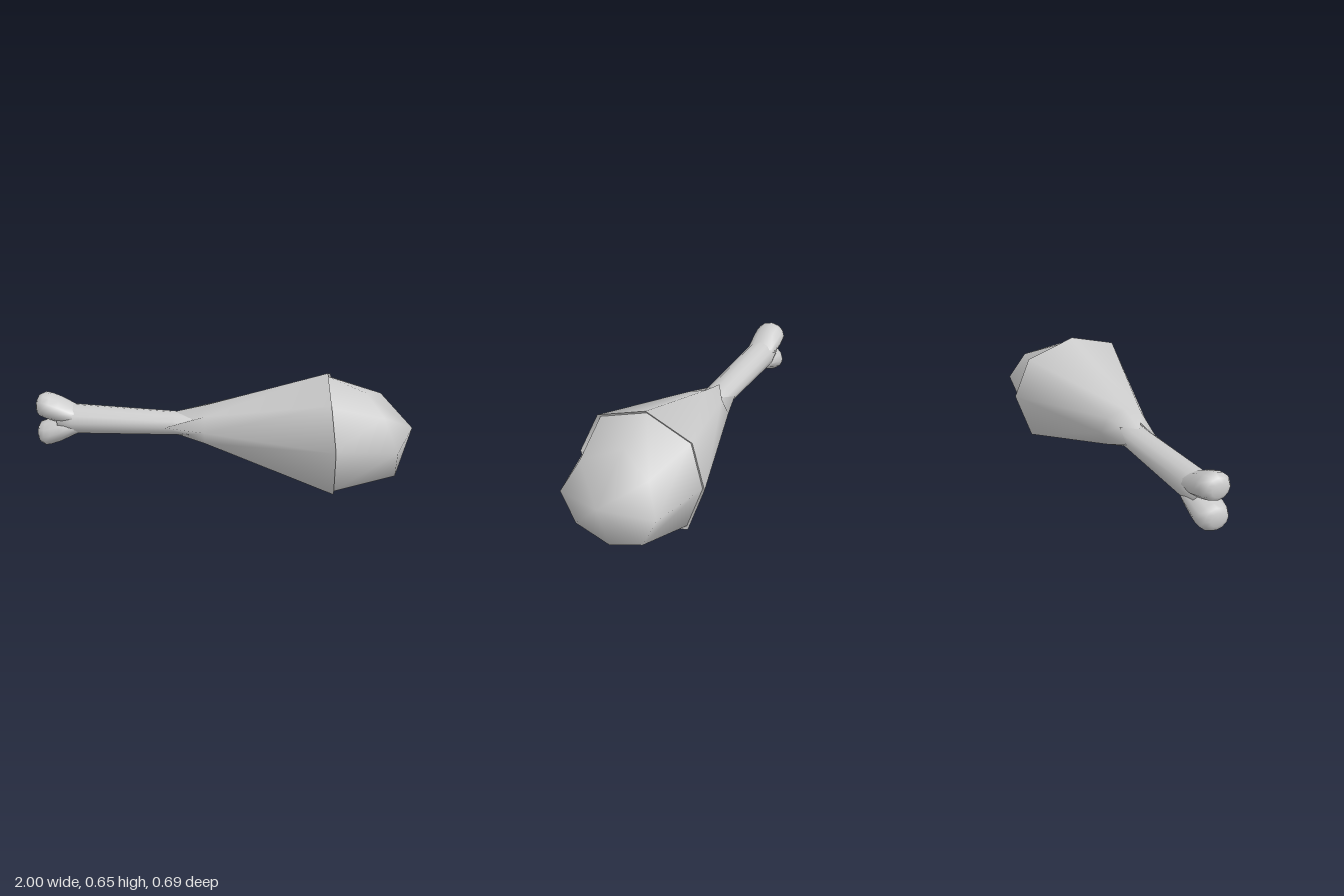
import * as THREE from 'three';

// Skin a list of rings (each a list of [x, y, z]) running towards +x; a one-point ring closes an end
function loft(name, rings, side = THREE.FrontSide) {
  const pos = [], idx = [], starts = [];
  for (const ring of rings) {
    starts.push(pos.length / 3);
    ring.forEach(p => pos.push(...p));
  }
  for (let i = 0; i < rings.length - 1; i++) {
    const na = rings[i].length, nb = rings[i + 1].length, n = Math.max(na, nb);
    for (let k = 0; k < n; k++) {
      const a = starts[i] + k % na, a2 = starts[i] + (k + 1) % na;
      const b = starts[i + 1] + k % nb, b2 = starts[i + 1] + (k + 1) % nb;
      if (nb > 1) idx.push(a, b, b2);
      if (na > 1) idx.push(a, b2, a2);
    }
  }
  const geo = new THREE.BufferGeometry();
  geo.setAttribute('position', new THREE.Float32BufferAttribute(pos, 3));
  geo.setIndex(idx);
  geo.computeVertexNormals();
  const mesh = new THREE.Mesh(geo, new THREE.MeshStandardMaterial({ color: 0xcccccc, side }));
  mesh.name = name;
  return mesh;
}

// Elliptical ring around the x axis, starting at +z and turning up
function oval(x, y, ry, rz, n = 12, z = 0) {
  return Array.from({ length: n }, (_, k) => {
    const a = k / n * Math.PI * 2;
    return [x, y + ry * Math.sin(a), z + rz * Math.cos(a)];
  });
}

export function createModel() {
  const group = new THREE.Group();

  // Widest ring of the meat, an uneven octagon tilted back at the top
  const rim = [
    [0.6, 0.36, 0.35], [0.57, 0.575, 0.257], [0.55, 0.655, -0.005], [0.57, 0.562, -0.265],
    [0.6, 0.34, -0.345], [0.6, 0.082, -0.255], [0.6, 0, 0.01], [0.6, 0.095, 0.27],
  ];
  const scaled = (s, dx) => rim.map(([x, y, z]) => [x + dx, 0.335 + (y - 0.335) * s, z * s]);

  // Skin: ragged edge on the bone, flared neck, wide rim and a thin inturned lip
  const edgeX = [-0.3, -0.15, -0.25, -0.15, -0.27, -0.16, -0.26, -0.17];
  const edge = oval(0, 0.352, 0.063, 0.085, 8).map(([, y, z], k) => [edgeX[k], y, z]);
  const neck = oval(-0.08, 0.353, 0.107, 0.138, 8);
  group.add(loft('skin', [edge, neck, rim], THREE.DoubleSide));
  group.add(loft('skinLip', [rim, scaled(0.955, -0.01)], THREE.DoubleSide));

  // Rounded meat end, its upper shoulder set further back than its lower one
  const shoulderX = [0.91, 0.84, 0.75, 0.84, 0.91, 0.91, 0.91, 0.91];
  const shoulder = oval(0, 0.335, 0.22, 0.26, 8)
    .map(([, y, z], k) => [shoulderX[k], y - (k > 4 ? 0.005 : 0), z]);
  group.add(loft('meatEnd', [scaled(0.955, -0.01), shoulder, [[1, 0.37, 0]]], THREE.DoubleSide));

  // Bone shaft
  group.add(loft('boneShaft', [
    [[-0.9, 0.355, 0]], oval(-0.88, 0.355, 0.06, 0.07), oval(-0.8, 0.355, 0.08, 0.085),
    oval(-0.25, 0.35, 0.061, 0.08), oval(-0.05, 0.35, 0.06, 0.08), [[-0.05, 0.35, 0]],
  ]));

  // Two knuckles mirrored above and below the end of the shaft
  for (const s of [1, -1]) {
    const y = d => 0.35 + s * d;
    group.add(loft(s > 0 ? 'upperKnuckle' : 'lowerKnuckle', [
      [[-1, y(0.075), 0]], oval(-0.997, y(0.075), 0.035, 0.04),
      oval(-0.985, y(0.077), 0.057, 0.065), oval(-0.955, y(0.079), 0.07, 0.083),
      oval(-0.92, y(0.07), 0.071, 0.088), oval(-0.87, y(0.054), 0.068, 0.086),
      oval(-0.8, y(0.034), 0.05, 0.08), oval(-0.73, y(0.02), 0.03, 0.05), [[-0.7, y(0.01), 0]],
    ]));
  }
  return group;
}
